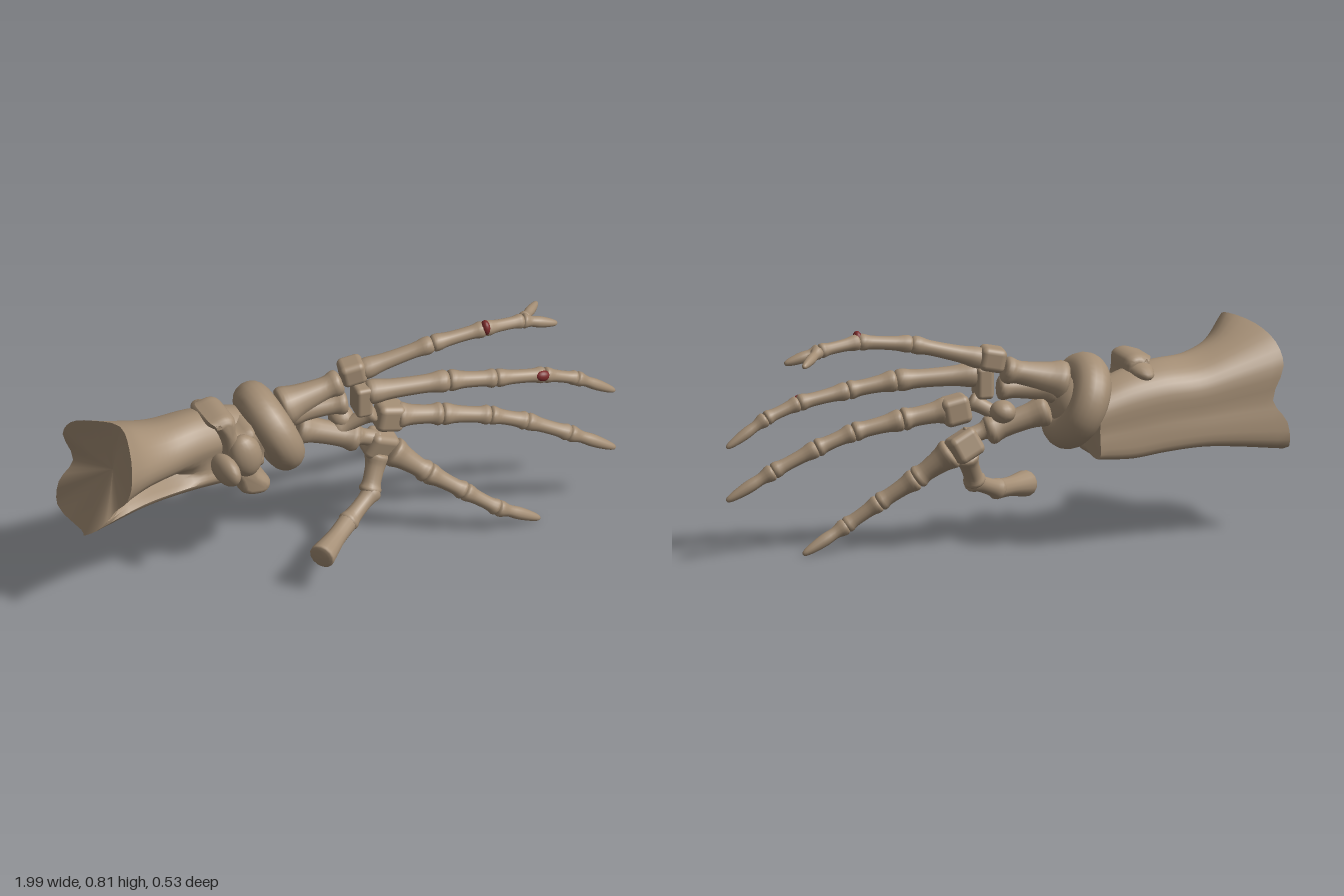
import * as THREE from 'three';
import { toCreasedNormals } from 'three/addons/utils/BufferGeometryUtils.js';
import { RoundedBoxGeometry } from 'three/addons/geometries/RoundedBoxGeometry.js';

const V = (a) => new THREE.Vector3(a[0], a[1], a[2]);
const UP = new THREE.Vector3(0, 1, 0);

export function createModel() {
  const bone = new THREE.MeshStandardMaterial({ color: 0xa48e75 });
  bone.name = 'bone';
  const red = new THREE.MeshStandardMaterial({ color: 0x7a2a2a });
  red.name = 'driedRed';
  const model = new THREE.Group();
  model.name = 'skeletalPaw';

  const add = (name, geo, pos = [0, 0, 0], rot = [0, 0, 0], scale = [1, 1, 1], mat = bone, parent = model) => {
    const m = new THREE.Mesh(geo, mat);
    m.name = name;
    m.position.set(...pos);
    m.rotation.set(...rot);
    m.scale.set(...scale);
    parent.add(m);
    return m;
  };
  const knob = (name, pos, scale, rot, mat) => add(name, new THREE.SphereGeometry(1, 18, 12), pos, rot, scale, mat);
  const block = (name, pos, size, rot) => add(name, new RoundedBoxGeometry(...size, 3, Math.min(...size) * 0.25), pos, rot);

  // Turned bone between two points; profile rows are [radius, fraction of length]
  const turned = (name, a, b, profile, parent = model) => {
    const dir = V(b).sub(V(a));
    const len = dir.length();
    const pts = new THREE.SplineCurve(profile.map(([r, t]) => new THREE.Vector2(r, t * len))).getPoints(20);
    pts.forEach((p) => { p.x = Math.max(p.x, 0); });
    pts[0].x = 0;
    pts[pts.length - 1].x = 0;
    const m = add(name, new THREE.LatheGeometry(pts, 14), a, [0, 0, 0], [1, 1, 1], bone, parent);
    m.quaternion.setFromUnitVectors(UP, dir.normalize());
    return m;
  };

  // Long bone with gently flared ends
  const longBone = (name, a, b, r0, r1, parent) => turned(name, a, b, [
    [0, -0.04], [r0 * 0.85, 0], [r0, 0.1], [r0 * 0.82, 0.28], [(r0 + r1) * 0.4, 0.55],
    [r1 * 0.88, 0.78], [r1 * 1.05, 0.91], [r1 * 0.85, 1], [0, 1.03],
  ], parent);

  const claw = (name, a, b, r, parent) => turned(name, a, b, [
    [0, -0.04], [r * 0.9, 0], [r * 1.05, 0.08], [r * 0.75, 0.25], [r * 0.8, 0.5], [r * 0.6, 0.8], [r * 0.33, 0.97], [0, 1],
  ], parent);

  // Digit from joints [x, y, z, radius]; the last segment tapers to a claw
  const digit = (name, joints) => {
    const g = new THREE.Group();
    g.name = name;
    model.add(g);
    for (let i = 0; i < joints.length - 1; i++) {
      const [a, b] = [joints[i], joints[i + 1]];
      if (i === joints.length - 2) claw('claw', a, b, a[3], g);
      else longBone('phalanx', a, b, a[3], b[3], g);
    }
    return g;
  };

  // Forearm: flared joint outline swept along x into a slimmer, flat-backed shaft
  const rim = [
    [-0.85, 0.745, 0.0], [-0.86, 0.71, 0.10], [-0.88, 0.62, 0.165], [-0.89, 0.53, 0.145], [-0.91, 0.455, 0.085],
    [-0.96, 0.41, 0.09], [-0.995, 0.35, 0.03], [-0.96, 0.295, -0.08], [-0.98, 0.31, -0.235], [-0.97, 0.40, -0.245],
    [-0.92, 0.48, -0.235], [-0.96, 0.60, -0.235], [-0.95, 0.675, -0.19], [-0.91, 0.725, -0.1],
  ];
  // [x, bottom, top, front z, groove depth, lower ridge bulge]
  const stations = [
    [-0.77, 0.325, 0.675, 0.08, 0.07, 0.01], [-0.66, 0.335, 0.64, 0.03, 0.05, 0.03],
    [-0.52, 0.33, 0.635, -0.005, -0.03, 0.04], [-0.40, 0.32, 0.615, -0.03, -0.03, 0.04], [-0.27, 0.33, 0.57, -0.05, -0.02, 0.02],
  ];
  const N = 42, M = 24;
  const rings = [rim, ...stations.map(([x, y0, y1, z1, groove, bulge]) => rim.map(([, y, z], j) => [
    x,
    y0 + (y - 0.295) / 0.45 * (y1 - y0),
    -0.243 + (z + 0.245) / 0.41 * (z1 + 0.243) + (j === 4 ? -groove : j === 5 || j === 6 ? bulge : 0),
  ]))].map((ring) => {
    const c = new THREE.CatmullRomCurve3(ring.map(V), true, 'centripetal');
    return Array.from({ length: N }, (_, k) => c.getPoint(k / N));
  });
  const rails = rings[0].map((_, j) => new THREE.CatmullRomCurve3(rings.map((r) => r[j]), false, 'centripetal').getPoints(M));
  const pos = [], idx = [];
  for (let i = 0; i <= M; i++) for (let j = 0; j < N; j++) pos.push(...rails[j][i].toArray());
  for (let i = 0; i < M; i++) for (let j = 0; j < N; j++) {
    const k = (j + 1) % N, a = i * N + j, b = i * N + k;
    idx.push(a, b, a + N, b, b + N, a + N);
  }
  // Hollowed joint face and far end
  const c0 = pos.length / 3;
  pos.push(-0.85, 0.53, -0.06, -0.26, 0.46, -0.15);
  for (let j = 0; j < N; j++) {
    const k = (j + 1) % N;
    idx.push(c0, k, j, c0 + 1, M * N + j, M * N + k);
  }
  const fore = new THREE.BufferGeometry();
  fore.setAttribute('position', new THREE.Float32BufferAttribute(pos, 3));
  fore.setIndex(idx);
  add('forearm', toCreasedNormals(fore, 0.8));

  // Knobbly wrist plate
  const outline = [
    [-0.505, 0.655], [-0.45, 0.67], [-0.41, 0.65], [-0.40, 0.58], [-0.34, 0.59], [-0.325, 0.5], [-0.33, 0.42],
    [-0.275, 0.36], [-0.30, 0.315], [-0.38, 0.33], [-0.41, 0.40], [-0.48, 0.43], [-0.45, 0.50], [-0.46, 0.58],
  ].map(([x, y]) => new THREE.Vector2(x, y));
  const plateShape = new THREE.Shape(new THREE.SplineCurve([...outline, outline[0]]).getPoints(56).slice(0, -1));
  const plate = new THREE.ExtrudeGeometry(plateShape, {
    depth: 0.1, bevelEnabled: true, bevelThickness: 0.04, bevelSize: 0.024, bevelOffset: -0.024, bevelSegments: 4,
  });
  add('wristPlate', toCreasedNormals(plate, 1.1), [0, 0, -0.12]);
  knob('wristKnob', [-0.46, 0.47, 0.03], [0.036, 0.055, 0.075], [0, 0.2, 0]);
  knob('wristKnob', [-0.38, 0.5, 0.015], [0.06, 0.085, 0.05], [0, 0, 0.2]);
  knob('wristKnob', [-0.33, 0.36, -0.08], [0.05, 0.04, 0.08], [0, 0, -0.4]);
  knob('wristKnob', [-0.455, 0.62, -0.1], [0.048, 0.036, 0.12], [-0.15, 0.1, 0]);

  // Wrist ring with a filled centre
  add('wristRing', new THREE.TorusGeometry(0.108, 0.066, 18, 40).rotateY(Math.PI / 2), [-0.238, 0.515, -0.096], [0, 0, 0.41]);
  knob('wristBall', [-0.225, 0.51, -0.095], [0.075, 0.105, 0.11], [0, 0, 0.41]);

  // Carpal bones linking wrist and digits
  longBone('upperCarpal', [-0.2, 0.585, -0.085], [0.02, 0.645, -0.065], 0.07, 0.046);
  longBone('middleCarpal', [-0.17, 0.56, -0.08], [0.03, 0.575, -0.04], 0.05, 0.042);
  longBone('lowerCarpal', [-0.14, 0.49, -0.08], [0.07, 0.42, -0.03], 0.055, 0.05);
  longBone('innerCarpal', [0.0, 0.46, -0.05], [0.12, 0.53, 0], 0.032, 0.032);
  knob('carpalKnob', [0.025, 0.495, -0.07], [0.045, 0.04, 0.05]);
  block('firstKnuckle', [0.06, 0.685, -0.055], [0.09, 0.085, 0.09], [0, -0.2, 0.2]);
  block('secondKnuckle', [0.075, 0.595, -0.01], [0.06, 0.115, 0.09], [0, -0.1, 0]);
  block('thirdKnuckle', [0.175, 0.5, 0.0], [0.1, 0.1, 0.09], [0, -0.1, -0.2]);
  block('fourthKnuckle', [0.15, 0.375, -0.025], [0.11, 0.1, 0.09], [0.2, 0, -0.45]);
  longBone('carpalLink', [0.06, 0.43, -0.03], [0.14, 0.4, -0.02], 0.037, 0.037);

  // Digits
  const first = digit('firstDigit', [
    [0.09, 0.685, -0.045, 0.038], [0.34, 0.752, 0.0, 0.031], [0.53, 0.773, 0.02, 0.028], [0.68, 0.757, 0.01, 0.025], [0.805, 0.72, 0.025, 0.021],
  ]);
  claw('forkedClaw', [0.69, 0.757, 0], [0.785, 0.735, -0.1], 0.022, first);
  digit('secondDigit', [
    [0.09, 0.62, 0.0, 0.044], [0.38, 0.615, 0.045, 0.038], [0.55, 0.59, 0.068, 0.032], [0.73, 0.56, 0.08, 0.028], [0.85, 0.515, 0.086, 0.025], [0.995, 0.423, 0.09, 0.021],
  ]);
  digit('thirdDigit', [
    [0.2, 0.5, 0.01, 0.046], [0.36, 0.475, 0.035, 0.039], [0.53, 0.44, 0.065, 0.033], [0.66, 0.39, 0.085, 0.031], [0.81, 0.315, 0.115, 0.028], [0.975, 0.22, 0.138, 0.02],
  ]);
  digit('fourthDigit', [
    [0.185, 0.35, 0.0, 0.054], [0.3, 0.255, 0.05, 0.039], [0.42, 0.17, 0.095, 0.032], [0.53, 0.09, 0.13, 0.028], [0.69, 0.002, 0.132, 0.022],
  ]);

  // Thumb with a blunt end
  longBone('thumbBase', [0.14, 0.34, -0.015], [0.085, 0.225, 0.035], 0.044, 0.038);
  longBone('thumbShaft', [0.1, 0.23, 0.035], [-0.035, 0.17, 0.105], 0.036, 0.036);
  turned('thumbTip', [-0.02, 0.175, 0.095], [-0.187, 0.148, 0.226], [
    [0, -0.04], [0.032, 0], [0.034, 0.15], [0.034, 0.45], [0.041, 0.75], [0.046, 0.94], [0.04, 1], [0, 1.02],
  ]);

  // Red spots on two joints
  knob('redSpot', [0.53, 0.782, 0.029], [0.016, 0.028, 0.023], [0, 0, 0], red);
  knob('redSpot', [0.718, 0.567, 0.094], [0.028, 0.02, 0.018], [0, 0, -0.2], red);

  return model;
}
